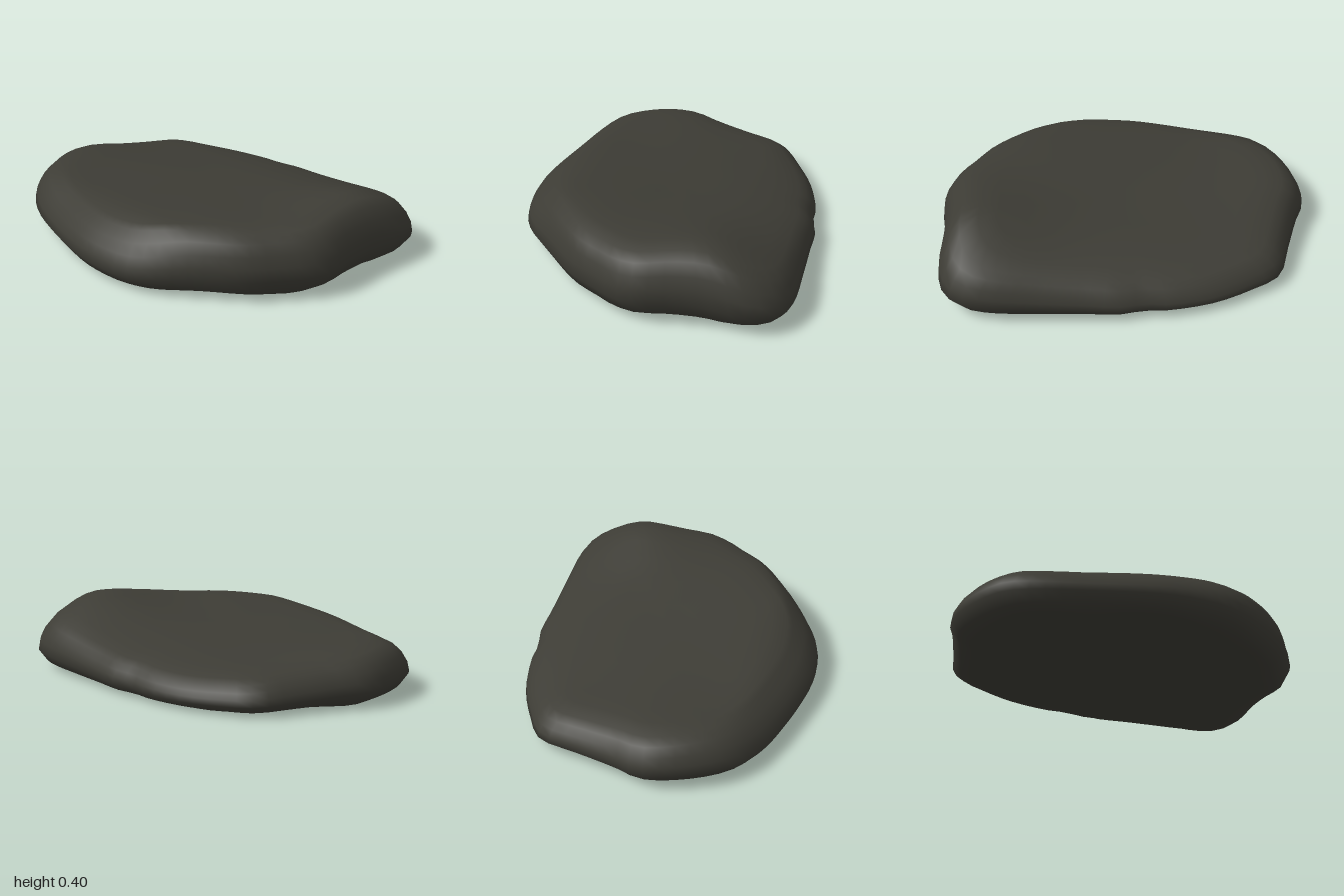
import * as THREE from 'three';

// Widest contour of the stone, seen from above (x, z)
const OUTLINE = [
  [0.785, 0], [0.75, -0.13], [0.745, -0.24], [0.68, -0.48], [0.57, -0.69], [0.46, -0.84], [0.24, -0.9],
  [0.0, -0.96], [-0.06, -0.985], [-0.18, -1.0], [-0.41, -0.92], [-0.58, -0.8], [-0.68, -0.63], [-0.75, -0.38],
  [-0.79, -0.18], [-0.81, 0], [-0.8, 0.16], [-0.77, 0.3], [-0.7, 0.43], [-0.6, 0.55],
  [-0.36, 0.8], [-0.2, 0.9], [-0.1, 0.96], [0.03, 1.0], [0.22, 0.975], [0.38, 0.965],
  [0.54, 0.97], [0.67, 0.945], [0.77, 0.86], [0.805, 0.73], [0.8, 0.42], [0.79, 0.18],
];

// Rings from the underside to the top: [inset from the contour, share of local height]
const RINGS = [
  [0.5, 0.06], [0.2, 0.06], [0.11, 0.06], [0.045, 0.15], [0, 0.36],
  [0.01, 0.55], [0.035, 0.72], [0.075, 0.87], [0.13, 0.96], [0.22, 1], [0.32, 1], [0.45, 1], [0.6, 1], [0.8, 1],
];
const BOTTOM_RINGS = 5;
const SHOULDER_END = 9;
const SEGMENTS = 72;

const bump = (x, z, cx, cz, r) => Math.exp(-((x - cx) ** 2 + (z - cz) ** 2) / (r * r));

// Height of the tilted, gently uneven upper face, falling away at both sides
function topHeight(x, z) {
  return 0.292 + 0.07 * z - 0.07 * x + 0.1 * x * z
    + 0.065 * bump(x, z, 0.36, 0.8, 0.35)
    + 0.03 * bump(x, z, -0.3, 0.5, 0.35)
    + 0.022 * bump(x, z, -0.2, -0.85, 0.35)
    + 0.015 * bump(x, z, 0.4, -0.85, 0.25)
    - 0.045 * bump(x, z, -0.6, -0.55, 0.45)
    - (0.05 + 0.04 * z) * THREE.MathUtils.smoothstep(x, 0.35, 0.8)
    - 0.08 * THREE.MathUtils.smoothstep(-x, 0.5, 0.8);
}

function stoneGeometry() {
  const curve = new THREE.CatmullRomCurve3(
    OUTLINE.map(([x, z]) => new THREE.Vector3(x, 0, z)), true);
  const contour = curve.getSpacedPoints(SEGMENTS).slice(0, SEGMENTS);
  const positions = [];
  const index = [];

  RINGS.forEach(([inset, share], r) => {
    contour.forEach((p, i) => {
      // The shoulder in -x slopes more gently than the other sides
      const gentle = 0.95 + 0.45 * THREE.MathUtils.smoothstep(-p.x, 0.3, 0.8);
      const shoulder = r >= BOTTOM_RINGS && r < SHOULDER_END ? gentle : 1;
      const s = 1 - inset * shoulder;
      const x = p.x * s;
      const z = p.z * s;
      let y = topHeight(x, z) * share;
      if (r < 3) y = 0.014 + 0.009 * Math.sin(i * 0.6) * (1 - inset);
      positions.push(x, y, z);
    });
  });
  const bottom = positions.length / 3;
  positions.push(0, 0.015, 0, 0, topHeight(0, 0), 0);

  for (let i = 0; i < SEGMENTS; i++) {
    const j = (i + 1) % SEGMENTS;
    for (let r = 0; r < RINGS.length - 1; r++) {
      const a = r * SEGMENTS + i;
      const b = r * SEGMENTS + j;
      index.push(a, b, a + SEGMENTS, b, b + SEGMENTS, a + SEGMENTS);
    }
    const last = (RINGS.length - 1) * SEGMENTS;
    index.push(bottom, j, i, last + i, last + j, bottom + 1);
  }

  const geometry = new THREE.BufferGeometry();
  geometry.setAttribute('position', new THREE.Float32BufferAttribute(positions, 3));
  geometry.setIndex(index);
  geometry.computeVertexNormals();
  return geometry;
}

export function createModel() {
  const darkStone = new THREE.MeshStandardMaterial({ color: 0x3d3c35 });
  darkStone.name = 'dark stone';

  const group = new THREE.Group();
  group.name = 'flatRock';
  const stone = new THREE.Mesh(stoneGeometry(), darkStone);
  stone.name = 'stone';
  group.add(stone);
  return group;
}
